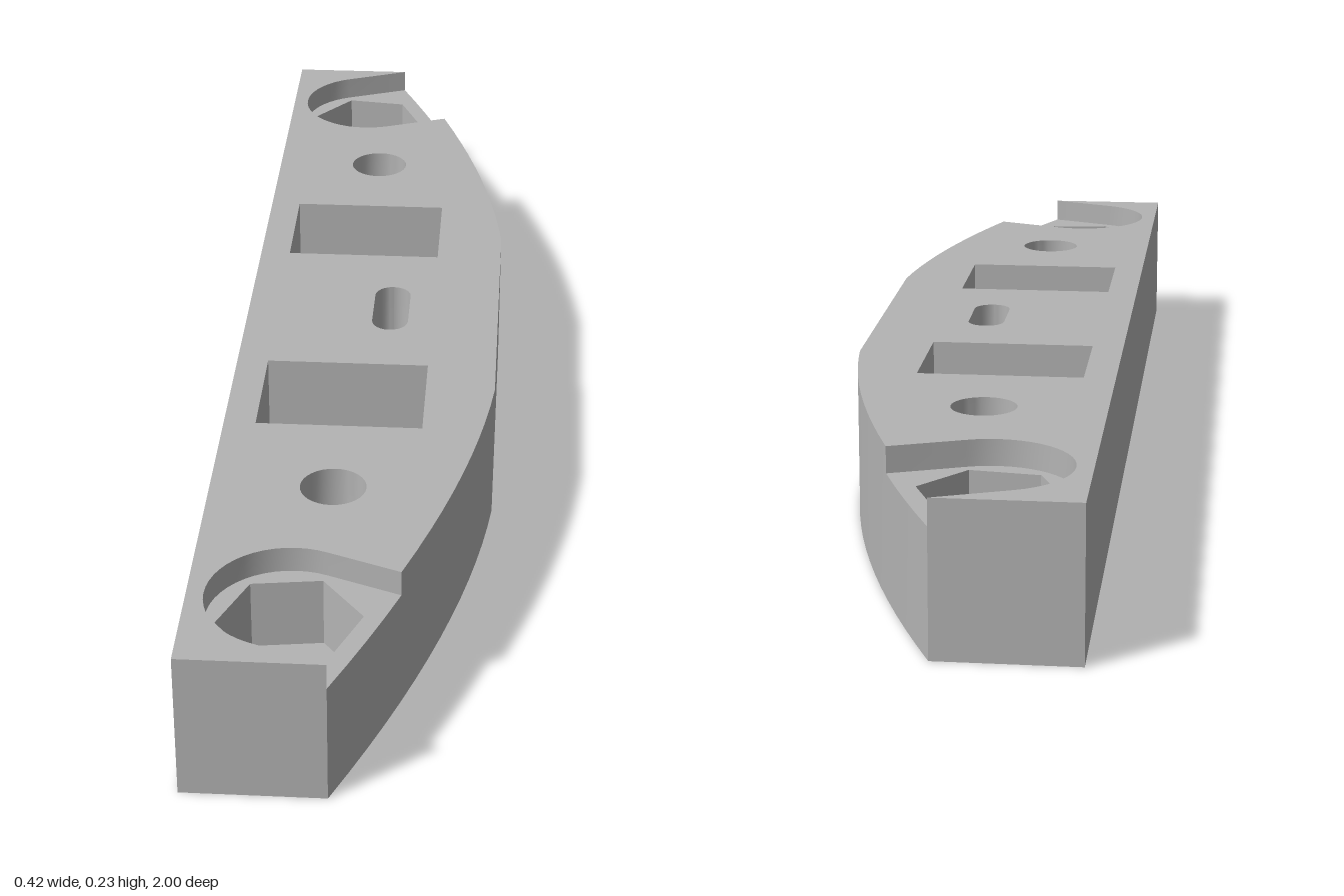
import * as THREE from 'three';
import { mergeGeometries, toCreasedNormals } from 'three/addons/utils/BufferGeometryUtils.js';

// All paths are lists of [x, z], running from +x towards +z.
const TOP = 0.23, NOTCH = 0.19;

function arc(cx, cz, r, n, a0 = 0, sweep = Math.PI * 2) {
  const full = sweep > 6.28;
  return Array.from({ length: full ? n : n + 1 }, (_, i) => {
    const a = a0 + (sweep * i) / n;
    return [cx + r * Math.cos(a), cz + r * Math.sin(a)];
  });
}
const rect = (x0, x1, z0, z1) => [[x0, z0], [x1, z0], [x1, z1], [x0, z1]];
const mirror = (pts) => pts.map(([x, z]) => [x, -z]).reverse();

// Vertical wall along a path; each point may have its own segment top.
function wall(pts, y0, y1, closed = true) {
  const pos = [];
  for (let i = 0; i < pts.length - (closed ? 0 : 1); i++) {
    const [ax, az] = pts[i], [bx, bz] = pts[(i + 1) % pts.length];
    const t = typeof y1 === 'function' ? y1(az, bz) : y1;
    pos.push(ax, y0, az, ax, t, az, bx, y0, bz, bx, y0, bz, ax, t, az, bx, t, bz);
  }
  const g = new THREE.BufferGeometry();
  g.setAttribute('position', new THREE.Float32BufferAttribute(pos, 3));
  return g;
}
const holeWall = (pts, y0, y1, closed = true) => wall([...pts].reverse(), y0, y1, closed);

// Horizontal face with holes, facing up (dir 1) or down (dir -1).
function flat(pts, holes, y, dir) {
  const v = (list) => list.map(([x, z]) => new THREE.Vector2(x, -dir * z));
  const shape = new THREE.Shape(v(pts));
  for (const h of holes) shape.holes.push(new THREE.Path(v(h)));
  const g = new THREE.ShapeGeometry(shape).rotateX((-dir * Math.PI) / 2).translate(0, y, 0);
  g.deleteAttribute('uv');
  g.deleteAttribute('normal');
  return g.toNonIndexed();
}

export function createModel() {
  const group = new THREE.Group();
  const grey = new THREE.MeshStandardMaterial({ color: 0xb4b4b4 });
  grey.name = 'grey';
  const add = (name, ...geos) => {
    const mesh = new THREE.Mesh(toCreasedNormals(mergeGeometries(geos), 0.4), grey);
    mesh.name = name;
    group.add(mesh);
  };

  // Bowed side: straight in the middle, curving in towards each end
  const N = 14, M = 10;
  const bow = Array.from({ length: N + 1 }, (_, i) => {
    const t = i / N, a = (1 - t) ** 2, b = 2 * t * (1 - t), c = t * t;
    return [a * 0.21 + b * 0.176, a * 0.26 + b * 0.6 + c];
  });
  const mouth = bow.slice(M), mouthZ = mouth[0][1];
  const kept = bow.slice(0, M);
  const outline = [[-0.21, -1], ...mirror(bow), ...bow, [-0.21, 1]];

  // End notch: a round pocket opening through the bowed side
  const ex = -0.065, ez = 0.845, tilt = 0.39;
  const notch = [[0, 1], ...arc(ex, ez, 0.12, 24, tilt + Math.PI / 2, Math.PI), mouth[0]];
  const topOutline = [[-0.21, -1], ...mirror(notch).reverse(), ...mirror(kept),
    ...kept, ...[...notch].reverse(), [-0.21, 1]];

  // Cut-outs
  const slot = [...arc(0.03, 0.045, 0.03, 12, 0, Math.PI), ...arc(0.03, -0.045, 0.03, 12, Math.PI, Math.PI)];
  const endHole = arc(ex, ez, 0.05, 32);
  const endHex = arc(ex, ez, 0.105, 6, tilt + Math.PI / 6);
  const boltHole = arc(-0.025, 0.56, 0.05, 32);
  const boltHex = arc(-0.025, 0.56, 0.1, 6);
  const boltBore = arc(-0.025, 0.56, 0.118, 40);
  const pocket = rect(-0.16, 0.1, 0.19, 0.385);
  const square = rect(-0.133, 0.157, -0.147, 0.147);
  const both = (p) => [p, mirror(p)];
  const screws = [];
  for (const sx of [-1, 1]) for (const sz of [-1, 1]) screws.push(arc(0.012 + sx * 0.083, sz * 0.087, 0.028, 20));

  // Body shell
  const inMouth = (a, b) => Math.min(Math.abs(a), Math.abs(b)) > mouthZ - 1e-4 && a !== b;
  add('bodySides', wall(outline, 0, (a, b) => (inMouth(a, b) && a * b > 0 ? NOTCH : TOP)));
  add('bodyTop', flat(topOutline, [slot, ...both(boltHole), ...both(pocket)], TOP, 1));
  add('bodyBottom', flat(outline, [square, ...both(endHole), ...both(boltBore)], 0, -1));

  // Central slot and square recess with four blind screw holes underneath
  add('centreSlot', holeWall(slot, 0.02, TOP));
  add('squareRecess', holeWall(square, 0, 0.02), flat(square, [slot, ...screws], 0.02, -1));
  for (const s of screws) add('screwHole', holeWall(s, 0.02, 0.05), flat(s, [], 0.05, -1));

  for (const side of [1, -1]) {
    const m = (p) => (side > 0 ? p : mirror(p));
    // End notch with hexagonal nut pocket and through hole
    const notchFloor = [...notch, ...mouth.slice(1, -1)];
    add('endNotch', holeWall(m(notch), NOTCH, TOP, false), flat(m(notchFloor), [m(endHex)], NOTCH, 1));
    add('endNutPocket', holeWall(m(endHex), 0.08, NOTCH), flat(m(endHex), [m(endHole)], 0.08, 1));
    add('endHole', holeWall(m(endHole), 0, 0.08));
    // Rectangular pocket open at the top
    add('rectangularPocket', holeWall(m(pocket), 0.04, TOP), flat(m(pocket), [], 0.04, 1));
    // Bolt hole, nut pocket and counterbore open underneath
    add('boltCounterbore', holeWall(m(boltBore), 0, 0.04), flat(m(boltBore), [m(boltHex)], 0.04, -1));
    add('boltNutPocket', holeWall(m(boltHex), 0.04, 0.14), flat(m(boltHex), [m(boltHole)], 0.14, -1));
    add('boltHole', holeWall(m(boltHole), 0.14, TOP));
  }
  return group;
}
